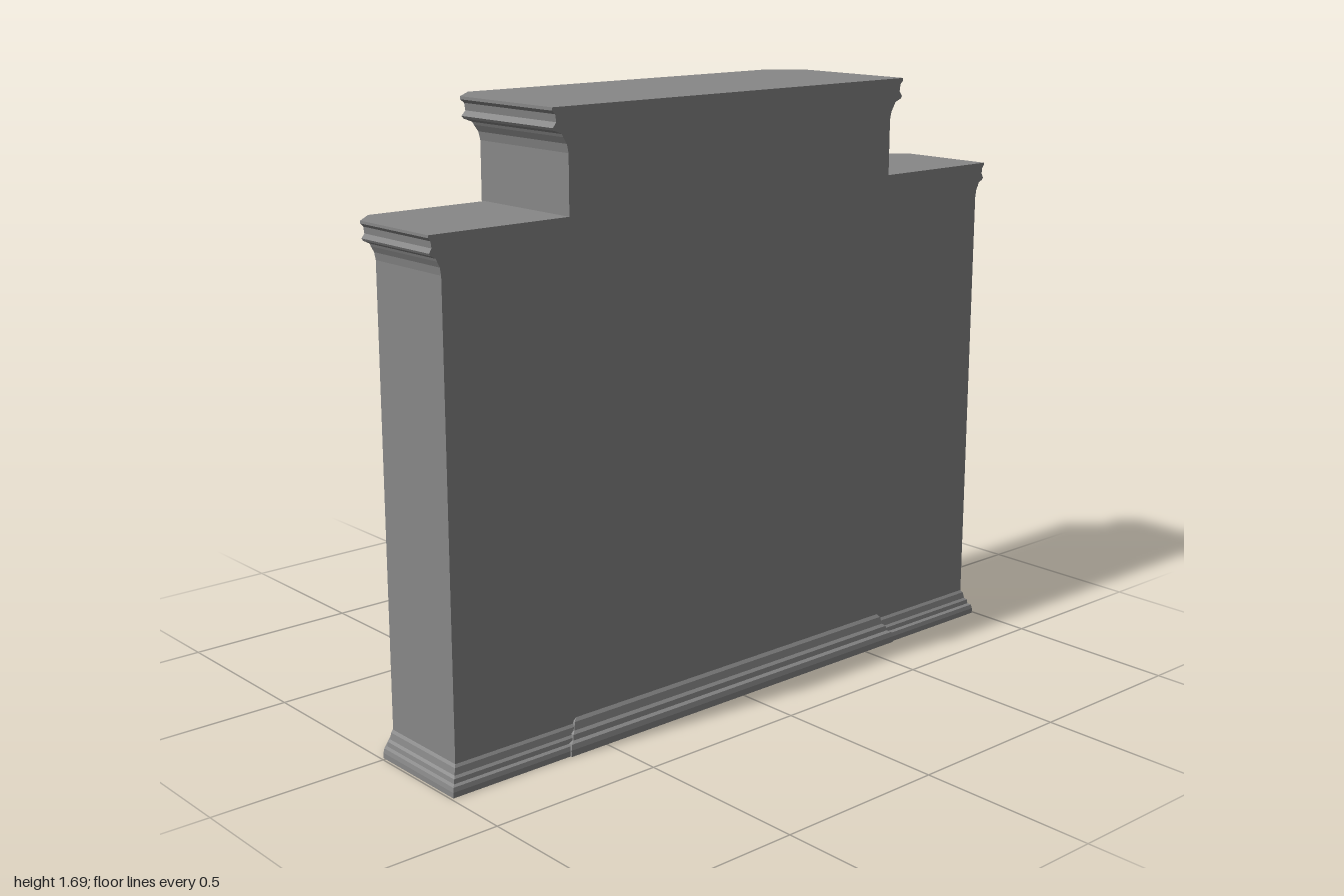
import * as THREE from 'three';

const material = new THREE.MeshStandardMaterial({ color: 0x878787, flatShading: true, side: THREE.DoubleSide });
const BACK = 0.28; // back plane; the open front faces -x

function add(group, name, geometry) {
  const mesh = new THREE.Mesh(geometry, material);
  mesh.name = name;
  group.add(mesh);
  return mesh;
}

// Box given by its limits
function box(group, name, [x0, x1], [y0, y1], [z0, z1]) {
  const g = new THREE.BoxGeometry(x1 - x0, y1 - y0, Math.abs(z1 - z0));
  g.translate((x0 + x1) / 2, (y0 + y1) / 2, (z0 + z1) / 2);
  return add(group, name, g);
}

// Upright extrusion of a plan made of [x, z] points
function upright(group, name, plan, y0, y1) {
  const shape = new THREE.Shape(plan.map(([x, z]) => new THREE.Vector2(x, -z)));
  const g = new THREE.ExtrudeGeometry(shape, { depth: y1 - y0, bevelEnabled: false });
  g.rotateX(-Math.PI / 2);
  g.translate(0, y0, 0);
  return add(group, name, g);
}

// Moulding: plan(offset) swept through a profile of [offset, y]
function moulding(group, name, plan, profile, capBottom, capTop) {
  const rings = profile.map(([o, y]) => plan(o).map(([x, z]) => [x, y, z]));
  const pos = [];
  const tri = (a, b, c) => pos.push(...a, ...b, ...c);
  for (let i = 0; i + 1 < rings.length; i++) {
    const lower = rings[i], upper = rings[i + 1], n = lower.length;
    for (let j = 0; j < n; j++) {
      const k = (j + 1) % n;
      tri(lower[j], lower[k], upper[k]);
      tri(lower[j], upper[k], upper[j]);
    }
  }
  const cap = (r) => {
    for (let j = 1; j + 1 < r.length; j++) tri(r[0], r[j], r[j + 1]);
  };
  if (capBottom) cap(rings[0]);
  if (capTop) cap(rings[rings.length - 1]);
  const g = new THREE.BufferGeometry();
  g.setAttribute('position', new THREE.Float32BufferAttribute(pos, 3));
  g.computeVertexNormals();
  return add(group, name, g);
}

// Plans with chamfered front corners; backGrow lets the base step out behind
const centrePlan = (backGrow) => (o) => {
  const b = BACK + o * backGrow, x = -0.14 - o, z = 0.58 + o, c = 0.053 + o * 0.7;
  return [[b, z], [x + c, z], [x, z - c], [x, c - z], [x + c, -z], [b, -z]];
};
const sidePlan = (s, backGrow) => (o) => {
  const b = BACK + o * backGrow, x = -0.04 - o, z = 0.966 + o, c = 0.04 + o * 0.7;
  return [[b, s * z], [x + c, s * z], [x, s * (z - c)], [x, s * 0.56], [b, s * 0.56]];
};

const crown = (top, reach, height) =>
  [[0, 0], [0.1, 0.2], [0.32, 0.35], [0.4, 0.42], [0.85, 0.5], [0.95, 0.56], [0.74, 0.68], [0.8, 0.85], [1, 0.93], [1, 1]]
    .map(([o, t]) => [o * reach, top - height + t * height]);
const plinth = (reach, height) =>
  [[1, 0], [1, 0.2], [0.9, 0.36], [0.62, 0.42], [0.55, 0.58], [0.32, 0.66], [0.2, 0.9], [0, 1]]
    .map(([o, t]) => [o * reach, t * height]);

export function createModel() {
  const model = new THREE.Group();
  model.name = 'bookcase';

  // Centre section
  const centre = new THREE.Group();
  centre.name = 'centreSection';
  model.add(centre);
  moulding(centre, 'centreBase', centrePlan(0.8), plinth(0.04, 0.09), false, false);
  moulding(centre, 'centreCrown', centrePlan(0), crown(1.69, 0.05, 0.115), true, true);
  box(centre, 'centreBack', [0.26, BACK], [0.07, 1.6], [-0.58, 0.58]);
  for (const s of [-1, 1]) {
    const plan = [[BACK, 0.58], [-0.087, 0.58], [-0.14, 0.527], [-0.14, 0.51], [BACK, 0.51]];
    upright(centre, 'centreWall', plan.map(([x, z]) => [x, z * s]), 0.07, 1.58);
  }
  for (const y of [0.71, 0.972, 1.238]) {
    box(centre, 'centreShelf', [-0.075, 0.27], [y, y + 0.015], [-0.515, 0.515]);
  }

  // Drawer opening below the shelves
  box(centre, 'drawerDeck', [-0.139, 0.27], [0.47, 0.49], [-0.515, 0.515]);
  box(centre, 'drawerRail', [-0.139, -0.12], [0.07, 0.15], [-0.515, 0.515]);
  for (const s of [-1, 1]) {
    box(centre, 'drawerStile', [-0.139, -0.12], [0.15, 0.47], [s * 0.456, s * 0.515]);
  }

  // Open-topped drawer, slightly pulled out
  const drawer = new THREE.Group();
  drawer.name = 'drawer';
  model.add(drawer);
  box(drawer, 'drawerFront', [-0.24, -0.212], [0.15, 0.465], [-0.455, 0.455]);
  box(drawer, 'drawerBottom', [-0.212, 0.2], [0.15, 0.165], [-0.455, 0.455]);
  box(drawer, 'drawerBack', [0.185, 0.2], [0.165, 0.465], [-0.455, 0.455]);
  for (const s of [-1, 1]) {
    box(drawer, 'drawerSide', [-0.212, 0.185], [0.165, 0.465], [s * 0.44, s * 0.455]);
  }
  const path = new THREE.CatmullRomCurve3(
    [[-0.235, -0.125], [-0.262, -0.116], [-0.286, -0.095], [-0.298, -0.06],
      [-0.298, 0.06], [-0.286, 0.095], [-0.262, 0.116], [-0.235, 0.125]]
      .map(([x, z]) => new THREE.Vector3(x, 0.355, z)));
  add(drawer, 'drawerHandle', new THREE.TubeGeometry(path, 20, 0.014, 6));

  // Lower side sections
  for (const s of [-1, 1]) {
    const side = new THREE.Group();
    side.name = s > 0 ? 'sideSectionA' : 'sideSectionB';
    model.add(side);
    moulding(side, 'sideBase', sidePlan(s, 1), plinth(0.027, 0.075), false, true);
    moulding(side, 'sideCrown', sidePlan(s, 0), crown(1.418, 0.034, 0.1), true, true);
    box(side, 'sideBack', [0.26, BACK], [0.06, 1.35], [s * 0.57, s * 0.966]);
    const plan = [[BACK, 0.966], [0, 0.966], [-0.04, 0.926], [-0.04, 0.916], [BACK, 0.916]];
    upright(side, 'sideWall', plan.map(([x, z]) => [x, z * s]), 0.06, 1.33);
    for (const y of [0.3, 0.56, 0.81, 1.08]) {
      box(side, 'sideShelf', [0.028, 0.27], [y, y + 0.014], [s * 0.575, s * 0.92]);
    }
  }
  return model;
}
